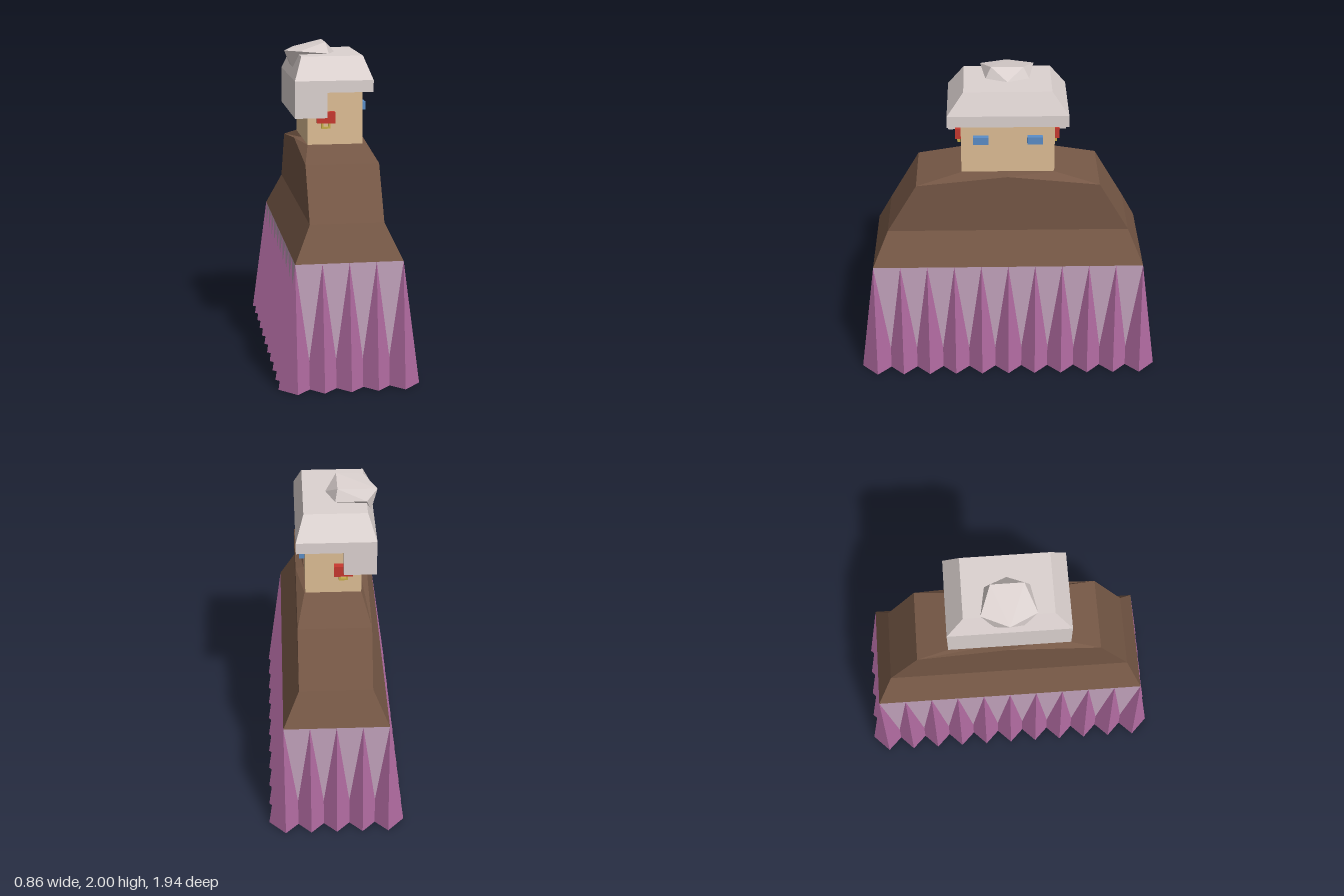
import * as THREE from 'three';
import { ConvexGeometry } from 'three/addons/geometries/ConvexGeometry.js';

const mat = (color) => new THREE.MeshStandardMaterial({ color, flatShading: true });

// Skin over a stack of loops (counterclockwise from above, lowest first), closed at both ends
function loft(loops) {
  const n = loops[0].length, pos = [];
  const tri = (a, b, c) => pos.push(...a, ...b, ...c);
  for (let k = 0; k < loops.length - 1; k++) {
    const a = loops[k], b = loops[k + 1];
    for (let i = 0; i < n; i++) {
      const j = (i + 1) % n;
      tri(a[i], a[j], b[j]);
      tri(a[i], b[j], b[i]);
    }
  }
  const lo = loops[0], hi = loops[loops.length - 1];
  for (let i = 1; i < n - 1; i++) {
    tri(lo[0], lo[i + 1], lo[i]);
    tri(hi[0], hi[i], hi[i + 1]);
  }
  const g = new THREE.BufferGeometry();
  g.setAttribute('position', new THREE.Float32BufferAttribute(pos, 3));
  g.computeVertexNormals();
  return g;
}

// Rectangular loop with a midpoint on each long side, whose height can be raised
const ring = (y, x0, x1, z, yFront = y, yBack = y) => [
  [x1, y, z], [x1, yFront, 0], [x1, y, -z],
  [x0, y, -z], [x0, yBack, 0], [x0, y, z],
];

export function createModel() {
  const model = new THREE.Group();
  const brown = mat(0x765846), lilac = mat(0xc3a3bd), purple = mat(0xb06aa0);
  const skin = mat(0xdfbf96), white = mat(0xddd3d1);
  const blue = mat(0x5b8ec8), red = mat(0xc8392f), gold = mat(0xc9b04a);

  const add = (name, geometry, material, parent = model) => {
    const m = new THREE.Mesh(geometry, material);
    m.name = name;
    parent.add(m);
    return m;
  };
  // Box given by its extents
  const box = (name, material, x0, x1, y0, y1, z0, z1, parent) => {
    const m = add(name, new THREE.BoxGeometry(x1 - x0, y1 - y0, z1 - z0), material, parent);
    m.position.set((x0 + x1) / 2, (y0 + y1) / 2, (z0 + z1) / 2);
    return m;
  };

  // Skirt: upright core with a row of four-sided pleats around its edge
  const skirt = new THREE.Group();
  skirt.name = 'skirt';
  model.add(skirt);
  const X = 0.325, Z = 0.863, H = 0.77, NX = 4, NZ = 10;
  box('skirtCore', lilac, -X, X, 0.002, H, -Z, Z, skirt);
  const pleatGeometry = new THREE.ConeGeometry(0.105, H, 4);
  for (let i = 0; i <= NX; i++) {
    for (let j = 0; j <= NZ; j++) {
      if (i > 0 && i < NX && j > 0 && j < NZ) continue;
      add('pleat', pleatGeometry, purple, skirt)
        .position.set(-X + 2 * X * i / NX, H / 2, -Z + 2 * Z * j / NZ);
    }
  }

  // Cloak with broad sloping shoulders
  add('cloak', loft([
    ring(H, -X, X, Z),
    ring(0.985, -0.225, 0.225, 0.765),
    ring(1.31, -0.225, 0.225, 0.575, 1.37, 1.38),
    ring(1.382, -0.175, 0.175, 0.29),
  ]), brown);

  // Head and eyes
  box('head', skin, -0.175, 0.17, 1.36, 1.76, -0.29, 0.29);
  for (const s of [-1, 1]) {
    const eye = box('eye', blue, 0.15, 0.203, 1.585, 1.635, -0.0475, 0.0475);
    eye.position.z = s * 0.167;
  }

  // Hair: bevelled cap and a block hanging behind
  const hair = new THREE.Group();
  hair.name = 'hair';
  model.add(hair);
  add('hairCap', loft([
    ring(1.717, -0.262, 0.225, 0.373),
    ring(1.79, -0.262, 0.225, 0.373),
    ring(1.93, -0.21, 0.175, 0.27),
  ]), white, hair);
  box('hairBack', white, -0.262, -0.063, 1.56, 1.75, -0.373, 0.373, hair);

  // Bun: faceted lump tilted back over the cap
  const bun = [[-0.285, 1.94, 0], [0.035, 1.93, 0], [-0.2, 1.82, 0]];
  for (const s of [-1, 1]) {
    bun.push([-0.21, 1.95, s * 0.168], [-0.035, 2, s * 0.1],
      [-0.02, 1.93, s * 0.135], [-0.24, 1.84, s * 0.09]);
  }
  add('bun', new ConvexGeometry(bun.map((p) => new THREE.Vector3(...p))), white, hair);

  // Earrings: red stud with a small square gold loop
  const loop = new THREE.Shape([[-0.028, -0.02], [0.028, -0.02], [0.028, 0.025], [-0.028, 0.025]]
    .map((p) => new THREE.Vector2(...p)));
  loop.holes.push(new THREE.Path([[-0.016, -0.008], [-0.016, 0.02], [0.016, 0.02], [0.016, -0.008]]
    .map((p) => new THREE.Vector2(...p))));
  const loopGeometry = new THREE.ExtrudeGeometry(loop, { depth: 0.02, bevelEnabled: false })
    .translate(0, 0, -0.01);
  for (const s of [-1, 1]) {
    const earring = new THREE.Group();
    earring.name = s > 0 ? 'leftEarring' : 'rightEarring';
    earring.position.set(-0.063, 1.555, s * 0.307);
    model.add(earring);
    box('stud', red, -0.057, 0.057, -0.035, 0.035, -0.023, 0.023, earring);
    add('loop', loopGeometry, gold, earring).position.set(0, -0.05, 0);
  }
  return model;
}
